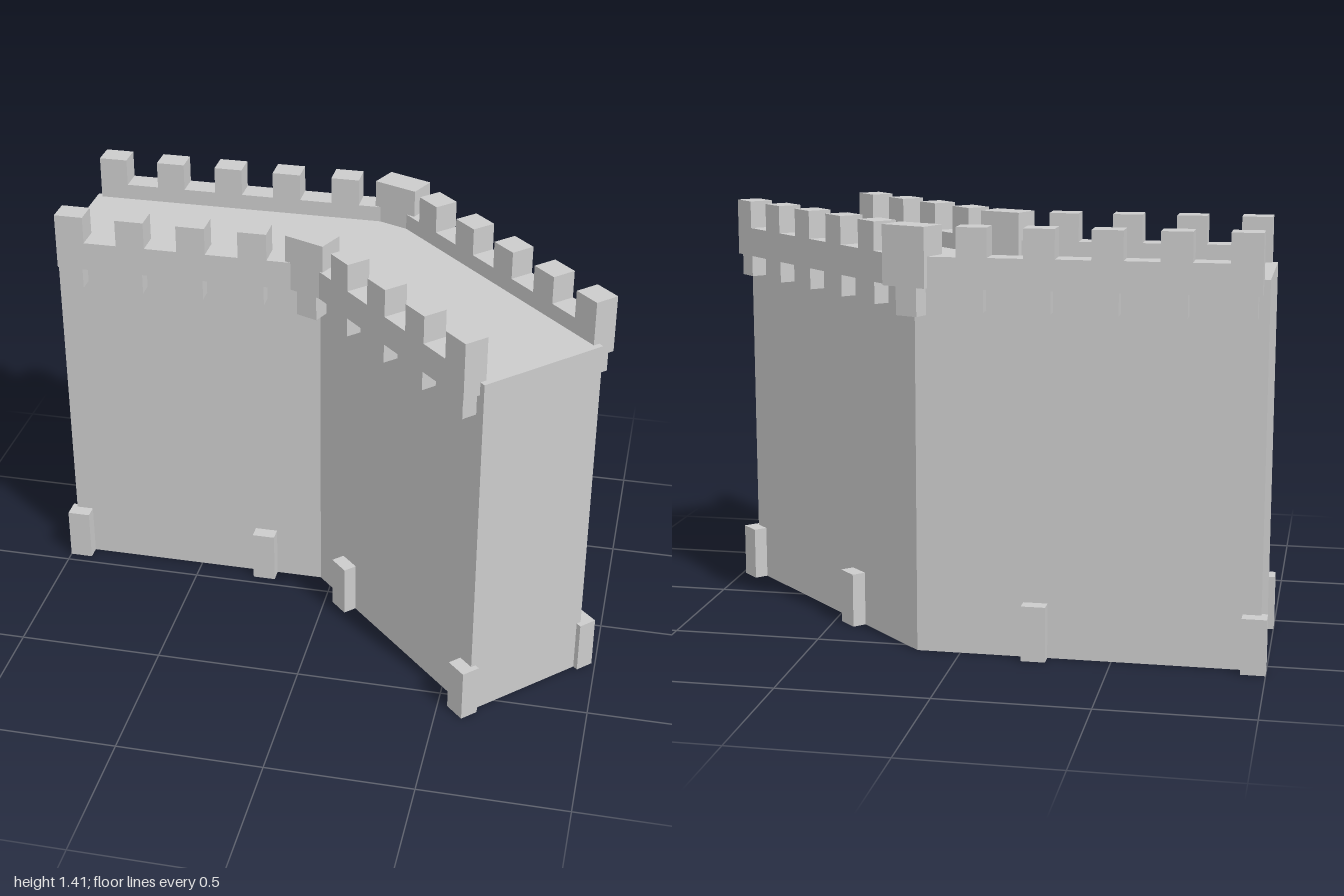
import * as THREE from 'three';

const WALL_TOP = 1.26;
const BEND = Math.PI / 4;
// plan points [x, z] where the two straight walls meet
const FRONT_BEND = [-0.045, -0.083];
const BACK_BEND = [0.145, -0.55];

const material = new THREE.MeshStandardMaterial({ color: 0xcccccc, flatShading: true });

// Box given by its lower and upper limits on each axis
function block(parent, name, [x0, x1], [y0, y1], [z0, z1]) {
  const mesh = new THREE.Mesh(
    new THREE.BoxGeometry(Math.abs(x1 - x0), y1 - y0, Math.abs(z1 - z0)), material);
  mesh.position.set((x0 + x1) / 2, (y0 + y1) / 2, (z0 + z1) / 2);
  mesh.name = name;
  parent.add(mesh);
}

// Everything fixed along one wall face: x runs away from the bend, z outward
function wallFace(name, [x, z], angle, dir, side, length, merlons, buttress) {
  const group = new THREE.Group();
  group.name = name;
  group.position.set(x, 0, z);
  group.rotation.y = -angle;
  const add = (part, s, y, n) => block(group, part, s.map(v => v * dir), y, n.map(v => v * side));

  const end = length - 0.02;
  const parapetDepth = [-0.022, 0.063];
  add('parapet', [0.05, end], [1.215, 1.315], parapetDepth);
  for (let i = 0; i < merlons; i++) {
    const s = end - 0.05 - i * 0.2145;
    add('merlon', [s - 0.05, s + 0.05], [1.315, 1.41], parapetDepth);
    add('corbel', [s - 0.036, s + 0.036], [1.14, 1.215], [-0.015, 0.054]);
  }
  // small buttresses at the foot: one at the end, one near the bend
  for (const s of [length - 0.02, buttress])
    add('buttress', [s - 0.04, s + 0.04], [0, 0.185], [-0.017, 0.048]);
  return group;
}

// Block that closes the parapet at the bend, with its corbel
function cornerPost(name, x, z, width) {
  const group = new THREE.Group();
  group.name = name;
  group.position.set(x, 0, z);
  group.rotation.y = -BEND / 2;
  block(group, 'cornerMerlon', [-width / 2, width / 2], [1.215, 1.41], [-0.05, 0.05]);
  block(group, 'cornerCorbel', [-0.04, 0.04], [1.12, 1.215], [-0.035, 0.035]);
  return group;
}

export function createModel() {
  const model = new THREE.Group();
  model.name = 'bentCastleWall';

  // wall body: bent plan extruded upward (shape y is -z)
  const plan = [[-0.98, -0.083], FRONT_BEND, [0.61, 0.573], [0.94, 0.245], BACK_BEND, [-0.98, -0.55]];
  const shape = new THREE.Shape(plan.map(([x, z]) => new THREE.Vector2(x, -z)));
  const geometry = new THREE.ExtrudeGeometry(shape, { depth: WALL_TOP, bevelEnabled: false });
  geometry.rotateX(-Math.PI / 2);
  const body = new THREE.Mesh(geometry, material);
  body.name = 'wallBody';
  model.add(body);

  // parapets, corbels and buttresses on the four long faces
  model.add(
    wallFace('frontStraightFace', FRONT_BEND, 0, -1, 1, 0.935, 4, 0.205),
    wallFace('frontAngledFace', FRONT_BEND, BEND, 1, 1, 0.926, 4, 0.192),
    wallFace('backStraightFace', BACK_BEND, 0, -1, -1, 1.125, 5, 0.395),
    wallFace('backAngledFace', BACK_BEND, BEND, 1, -1, 1.124, 5, 0.378),
    cornerPost('frontCornerPost', -0.064, -0.045, 0.152),
    cornerPost('backCornerPost', 0.152, -0.551, 0.163),
  );
  return model;
}
